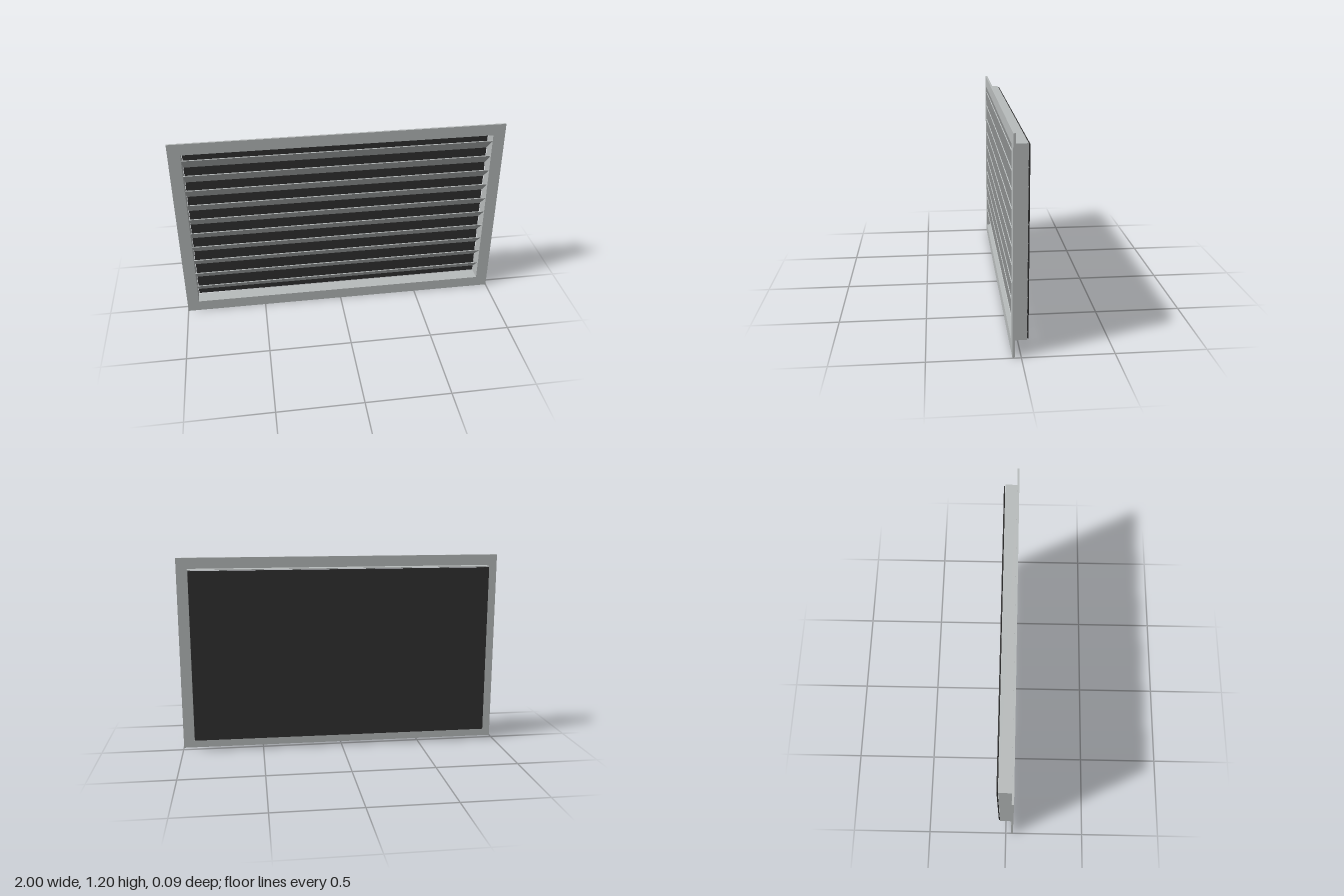
import * as THREE from 'three';

const metal = new THREE.MeshStandardMaterial({ color: 0xb8bcbc });
metal.name = 'light grey metal';
const dark = new THREE.MeshStandardMaterial({ color: 0x303030 });
dark.name = 'dark backing';

const MID_Y = 0.6;
const HOLE_W = 1.854, HOLE_H = 1.06;

function addMesh(group, name, geometry, material, y, z) {
  const mesh = new THREE.Mesh(geometry, material);
  mesh.name = name;
  mesh.position.set(0, y, z);
  group.add(mesh);
  return mesh;
}

function rectanglePoints(w, h) {
  return [[-1, -1], [1, -1], [1, 1], [-1, 1]].map(([x, y]) => new THREE.Vector2(x * w / 2, y * h / 2));
}

// Rectangular ring around the louvre opening, extruded along z
function ring(w, h, depth) {
  const shape = new THREE.Shape(rectanglePoints(w, h));
  shape.holes.push(new THREE.Path(rectanglePoints(HOLE_W, HOLE_H).reverse()));
  return new THREE.ExtrudeGeometry(shape, { depth, bevelEnabled: false });
}

export function createModel() {
  const grille = new THREE.Group();
  grille.name = 'ventilationGrille';

  // Flat front flange and the collar that goes into the wall
  addMesh(grille, 'frontFlange', ring(2, 1.2, 0.012), metal, MID_Y, 0.035);
  addMesh(grille, 'collar', ring(1.862, 1.068, 0.072), metal, MID_Y, -0.037);

  // Ten slats at 45 degrees, front edge up and back edge down
  const slats = new THREE.Group();
  slats.name = 'slats';
  grille.add(slats);
  const slatGeometry = new THREE.BoxGeometry(1.85, 0.005, 0.12);
  for (let i = 0; i < 10; i++) {
    const slat = addMesh(slats, 'slat', slatGeometry, metal, 0.15 + i * 0.1, 0.002);
    slat.rotation.x = -Math.PI / 4;
  }

  // Dark sheet closing the back
  addMesh(grille, 'backScreen', new THREE.BoxGeometry(1.85, 1.056, 0.006), dark, MID_Y, -0.043);

  return grille;
}
